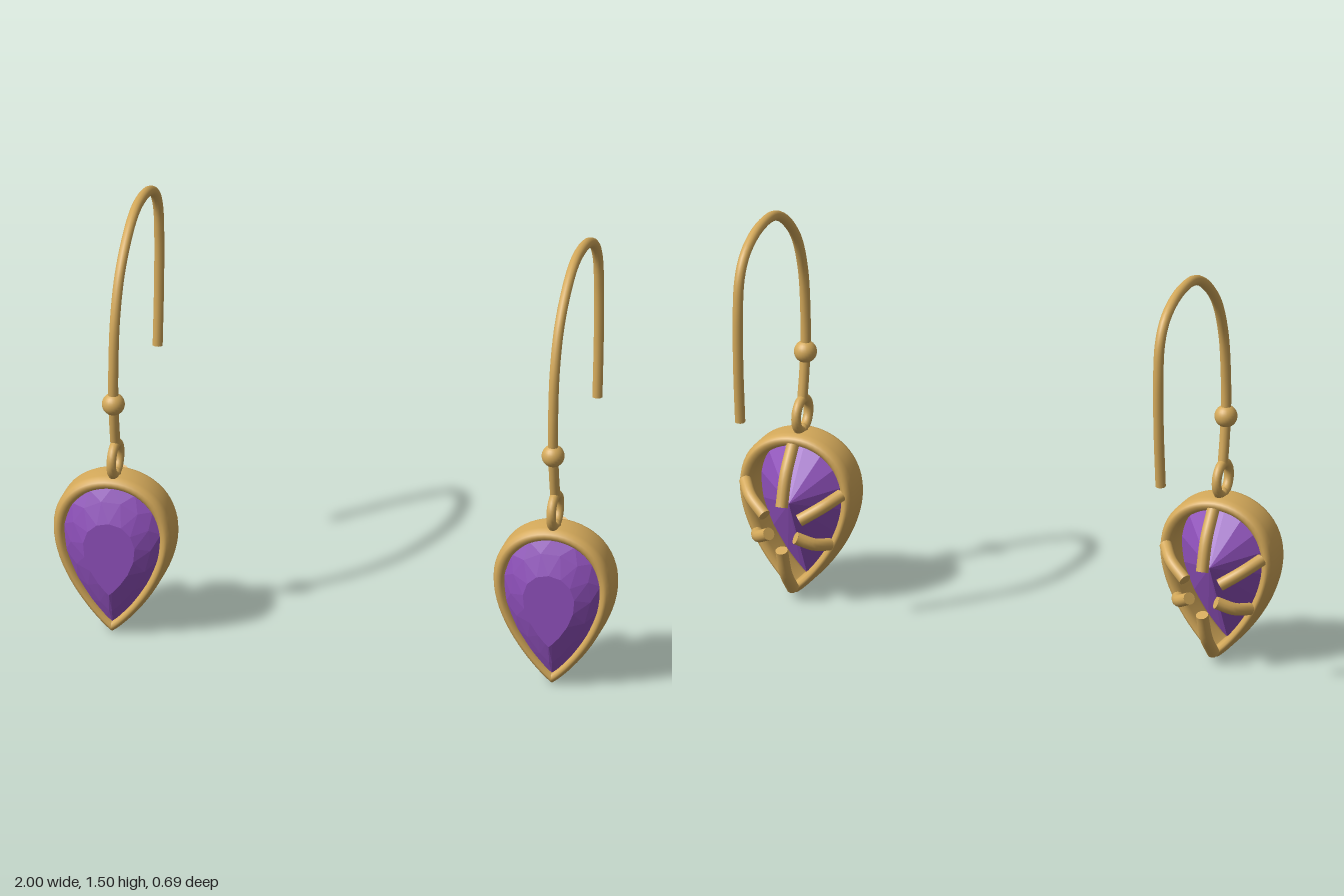
import * as THREE from 'three';

const V = (x, y, z) => new THREE.Vector3(x, y, z);

// Point on the pear outline, t = 0 at the tip, inset by d
function pear(t, d, z) {
  const s = Math.abs(Math.sin(t / 2)) ** 0.8;
  const x = (0.213 - d) * Math.sin(t) * s / 0.803;
  return V(x, 0.305 - (0.295 - d) * Math.cos(t), z);
}

// Skin over closed rings of points, running from back to front on the outside
function loft(rings, wrap) {
  const n = rings[0].length, m = rings.length, index = [];
  for (let j = 0; j < (wrap ? m : m - 1); j++) {
    for (let i = 0; i < n; i++) {
      const i2 = (i + 1) % n, k = ((j + 1) % m) * n;
      const a = j * n + i, b = j * n + i2, c = k + i, d = k + i2;
      index.push(a, b, c, b, d, c);
    }
  }
  const geo = new THREE.BufferGeometry().setFromPoints(rings.flat());
  geo.setIndex(index);
  geo.computeVertexNormals();
  return geo;
}

// Pear-shaped rim with rounded front and back edges
function bezelGeometry() {
  const section = [[0.006, 0.192], [0, 0.21], [0, 0.285], [0.005, 0.302], [0.014, 0.312], [0.024, 0.315],
    [0.035, 0.31], [0.043, 0.298], [0.046, 0.28], [0.046, 0.205], [0.038, 0.187], [0.024, 0.178], [0.013, 0.182]];
  return loft(section.map(([d, z]) =>
    Array.from({ length: 64 }, (_, i) => pear(i / 64 * Math.PI * 2, d, z))), true);
}

// Faceted stone: culet, girdle, staggered crown, flat table
function gemGeometry() {
  const n = 16;
  const tiers = [[0, 0.135, 0.365], [1, 0.298, 0.31], [0.82, 0.319, 0.31], [0.53, 0.345, 0.31], [0, 0.345, 0.31]];
  const rings = tiers.map(([s, z, cy], k) => Array.from({ length: n }, (_, i) => {
    const p = pear((i + (k - 1) / 2) / n * Math.PI * 2, 0.038, z);
    return V(p.x * s, cy + (p.y - 0.31) * s, z);
  }));
  const geo = loft(rings, false).toNonIndexed();
  geo.computeVertexNormals();
  return geo;
}

export function createModel() {
  const gold = new THREE.MeshStandardMaterial({ color: 0xd4a95a });
  gold.name = 'gold';
  const purple = new THREE.MeshStandardMaterial({ color: 0x8f50bb });
  purple.name = 'purple stone';

  const add = (parent, name, geo, mat = gold) => {
    const mesh = new THREE.Mesh(geo, mat);
    mesh.name = name;
    parent.add(mesh);
    return mesh;
  };

  // Round wire with flat end caps
  const wire = (parent, name, points, radius, segments) => {
    const g = new THREE.Group();
    g.name = name;
    parent.add(g);
    const curve = new THREE.CatmullRomCurve3(points);
    add(g, name + 'Wire', new THREE.TubeGeometry(curve, segments, radius, 12));
    for (const u of [0, 1]) {
      const p = curve.getPointAt(u), dir = curve.getTangentAt(u).multiplyScalar(u ? 1 : -1);
      const cap = add(g, name + 'Cap', new THREE.CircleGeometry(radius, 12));
      cap.position.copy(p);
      cap.quaternion.setFromUnitVectors(V(0, 0, 1), dir);
    }
  };

  const bezel = bezelGeometry(), gem = gemGeometry();

  function earring(name, x) {
    const g = new THREE.Group();
    g.name = name;
    g.position.x = x;
    add(g, 'bezel', bezel);
    add(g, 'gemstone', gem, purple);

    // Prongs behind the stone: [start, end], bowed outwards
    const prongs = [
      [V(0, 0.57, 0.17), V(0, 0.375, 0.07)],
      [V(0, 0.04, 0.17), V(0, 0.215, 0.07)],
    ];
    for (const s of [-1, 1]) {
      prongs.push([V(s * 0.18, 0.41, 0.175), V(s * 0.065, 0.335, 0.072)]);
      prongs.push([V(s * 0.135, 0.22, 0.175), V(s * 0.05, 0.267, 0.075)]);
    }
    for (const [a, b] of prongs) {
      const mid = a.clone().lerp(b, 0.5);
      const out = V(mid.x, mid.y - 0.3, 0).setLength(0.012);
      mid.add(out).add(V(0, 0, -0.012));
      wire(g, 'prong', [a, mid, b], 0.022, 10);
    }

    // Hanging ring, its solder joint and the bead
    const ring = add(g, 'hangingRing', new THREE.TorusGeometry(0.056, 0.017, 12, 32));
    ring.rotation.y = Math.PI / 2;
    ring.position.set(0, 0.654, 0.256);
    add(g, 'ringJoint', new THREE.SphereGeometry(0.02, 16, 12)).position.set(0, 0.6, 0.256);
    add(g, 'bead', new THREE.SphereGeometry(0.04, 24, 16)).position.set(0, 0.877, 0.284);

    // Ear hook
    const path = [[0.71, 0.256], [0.8, 0.273], [0.89, 0.284], [1.02, 0.284], [1.19, 0.262], [1.33, 0.203],
      [1.43, 0.105], [1.48, 0.015], [1.493, -0.07], [1.477, -0.18], [1.43, -0.265], [1.36, -0.308],
      [1.25, -0.323], [1.05, -0.32], [0.83, -0.302]];
    wire(g, 'earHook', path.map(([y, z]) => V(0, y, z)), 0.018, 80);
    return g;
  }

  const model = new THREE.Group();
  model.name = 'earrings';
  model.add(earring('leftEarring', 0.787), earring('rightEarring', -0.787));
  return model;
}
